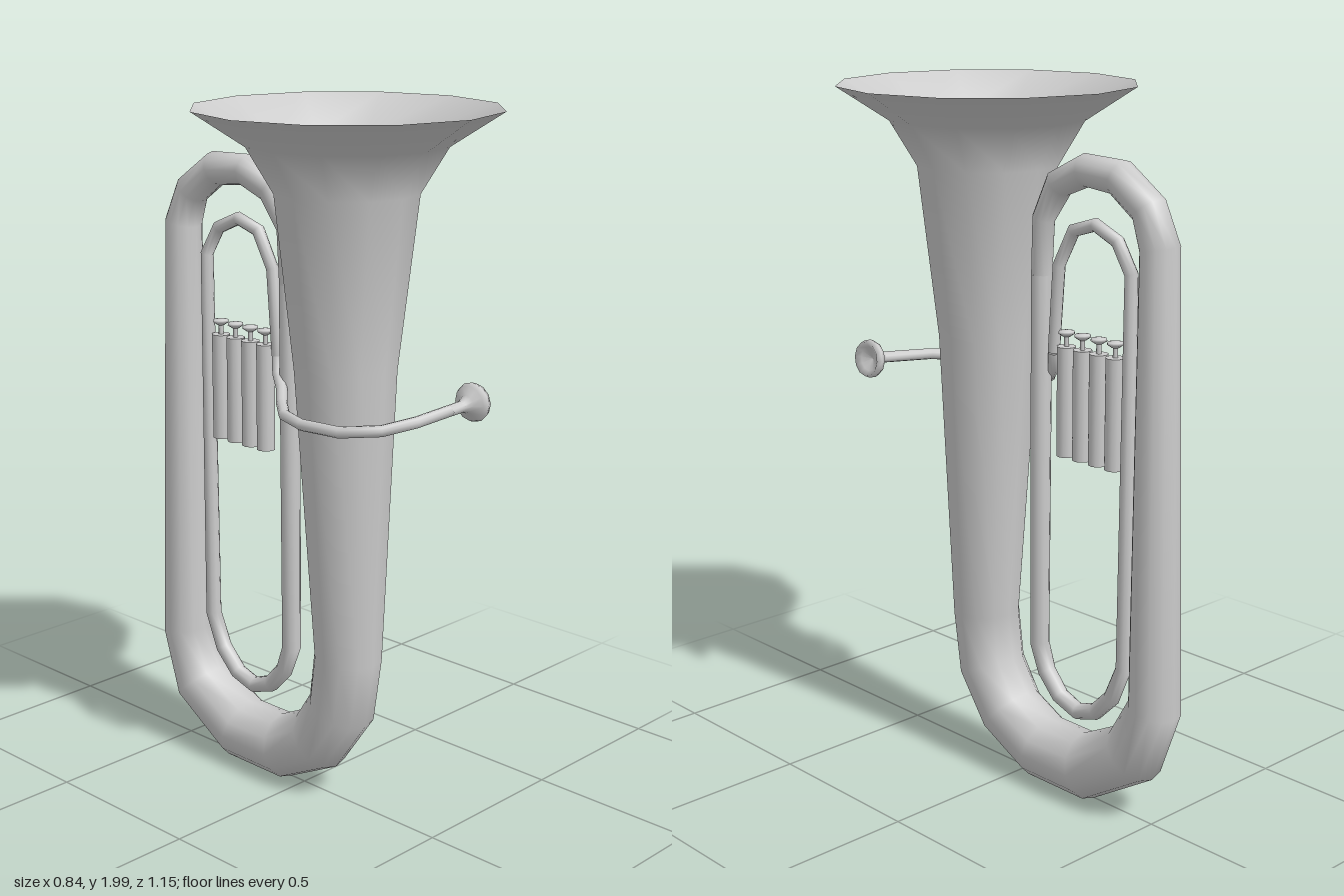
import * as THREE from 'three';

const material = new THREE.MeshStandardMaterial({ color: 0xcccccc, side: THREE.DoubleSide });

function part(name, geometry) {
  const mesh = new THREE.Mesh(geometry, material);
  mesh.name = name;
  return mesh;
}

// Tapered tube through stations [x, y, z, radius], with smooth normals
function sweep(stations, sides) {
  const pts = stations.map(([x, y, z]) => new THREE.Vector3(x, y, z));
  const last = pts.length - 1;
  const normal = new THREE.Vector3(1, 0, 0);
  const positions = [], index = [];
  pts.forEach((p, i) => {
    const tangent = new THREE.Vector3();
    if (i > 0) tangent.add(p.clone().sub(pts[i - 1]).normalize());
    if (i < last) tangent.add(pts[i + 1].clone().sub(p).normalize());
    tangent.normalize();
    normal.addScaledVector(tangent, -normal.dot(tangent)).normalize();
    const binormal = tangent.clone().cross(normal);
    for (let j = 0; j < sides; j++) {
      const a = (j / sides) * Math.PI * 2;
      const v = p.clone()
        .addScaledVector(normal, Math.cos(a) * stations[i][3])
        .addScaledVector(binormal, Math.sin(a) * stations[i][3]);
      positions.push(v.x, v.y, v.z);
      if (i < last) {
        const k = (j + 1) % sides, b = i * sides, c = b + sides;
        index.push(b + j, b + k, c + j, b + k, c + k, c + j);
      }
    }
  });
  const g = new THREE.BufferGeometry();
  g.setAttribute('position', new THREE.Float32BufferAttribute(positions, 3));
  g.setIndex(index);
  g.computeVertexNormals();
  return g;
}

// Stations [z, y, radius] in the middle plane
const planar = (list) => list.map(([z, y, r]) => [0, y, z, r]);

const lathe = (profile, sides = 12) =>
  new THREE.LatheGeometry(profile.map(([r, y]) => new THREE.Vector2(r, y)), sides);

export function createModel() {
  const model = new THREE.Group();
  model.name = 'brassHorn';

  // Bell, bottom bow, rear branch and top bow
  model.add(part('bellAndMainBows', sweep(planar([
    [0.155, 2, 0.42], [0.155, 1.905, 0.275], [0.155, 1.78, 0.2], [0.155, 1.3, 0.145],
    [0.173, 0.46, 0.098], [0.15, 0.295, 0.098], [0.065, 0.17, 0.096], [-0.075, 0.1, 0.096],
    [-0.255, 0.1, 0.096], [-0.432, 0.202, 0.09], [-0.503, 0.36, 0.075],
    [-0.49, 1.625, 0.055], [-0.45, 1.722, 0.05], [-0.347, 1.793, 0.049], [-0.225, 1.8, 0.045],
    [-0.125, 1.755, 0.041], [-0.065, 1.655, 0.032], [-0.058, 1.5, 0.03],
  ]), 12)));

  // Narrow inner loop around the valves
  model.add(part('innerLoop', sweep(planar([
    [-0.058, 1.5, 0.03], [-0.053, 0.42, 0.028], [-0.083, 0.34, 0.026], [-0.138, 0.28, 0.025],
    [-0.21, 0.254, 0.024], [-0.28, 0.276, 0.024], [-0.342, 0.338, 0.024], [-0.386, 0.44, 0.023],
    [-0.392, 1.545, 0.019], [-0.342, 1.625, 0.019], [-0.26, 1.66, 0.019],
    [-0.18, 1.635, 0.019], [-0.125, 1.535, 0.018], [-0.106, 1.29, 0.017],
  ]), 10)));

  // Lead pipe wrapping around the bell stem to the mouthpiece
  const leadPath = [
    [0, 1.29, -0.106], [-0.01, 1.24, -0.095], [-0.04, 1.21, -0.05], [-0.09, 1.188, 0],
    [-0.14, 1.175, 0.06], [-0.165, 1.17, 0.15], [-0.157, 1.173, 0.28],
    [-0.095, 1.183, 0.375], [0, 1.195, 0.413], [0.17, 1.21, 0.43],
  ];
  model.add(part('leadPipe', sweep(leadPath.map((p) => [...p, 0.016]), 10)));

  // Mouthpiece cup facing sideways
  const mouthpiece = part('mouthpiece', lathe([
    [0.014, -0.07], [0.016, -0.02], [0.026, 0], [0.05, 0.012], [0.056, 0.026],
    [0.05, 0.042], [0.035, 0.03], [0, 0.015],
  ]));
  mouthpiece.position.set(0.187, 1.211, 0.43);
  mouthpiece.rotation.z = -Math.PI / 2 + 0.08;
  model.add(mouthpiece);

  // Row of four valves, each a casing with a stem and a finger button
  for (let i = 0; i < 4; i++) {
    const valve = new THREE.Group();
    valve.name = `valve${i + 1}`;
    const casing = part('valveCasing', new THREE.CylinderGeometry(0.027, 0.027, 0.31, 12));
    casing.position.y = 1.16;
    const stem = part('valveStem', new THREE.CylinderGeometry(0.007, 0.007, 0.04, 8));
    stem.position.y = 1.33;
    const button = part('fingerButton', lathe([[0, 0], [0.01, 0], [0.023, 0.009], [0.022, 0.015], [0, 0.02]]));
    button.position.y = 1.342;
    valve.add(casing, stem, button);
    valve.position.z = -0.155 - i * 0.061;
    model.add(valve);
  }
  return model;
}
